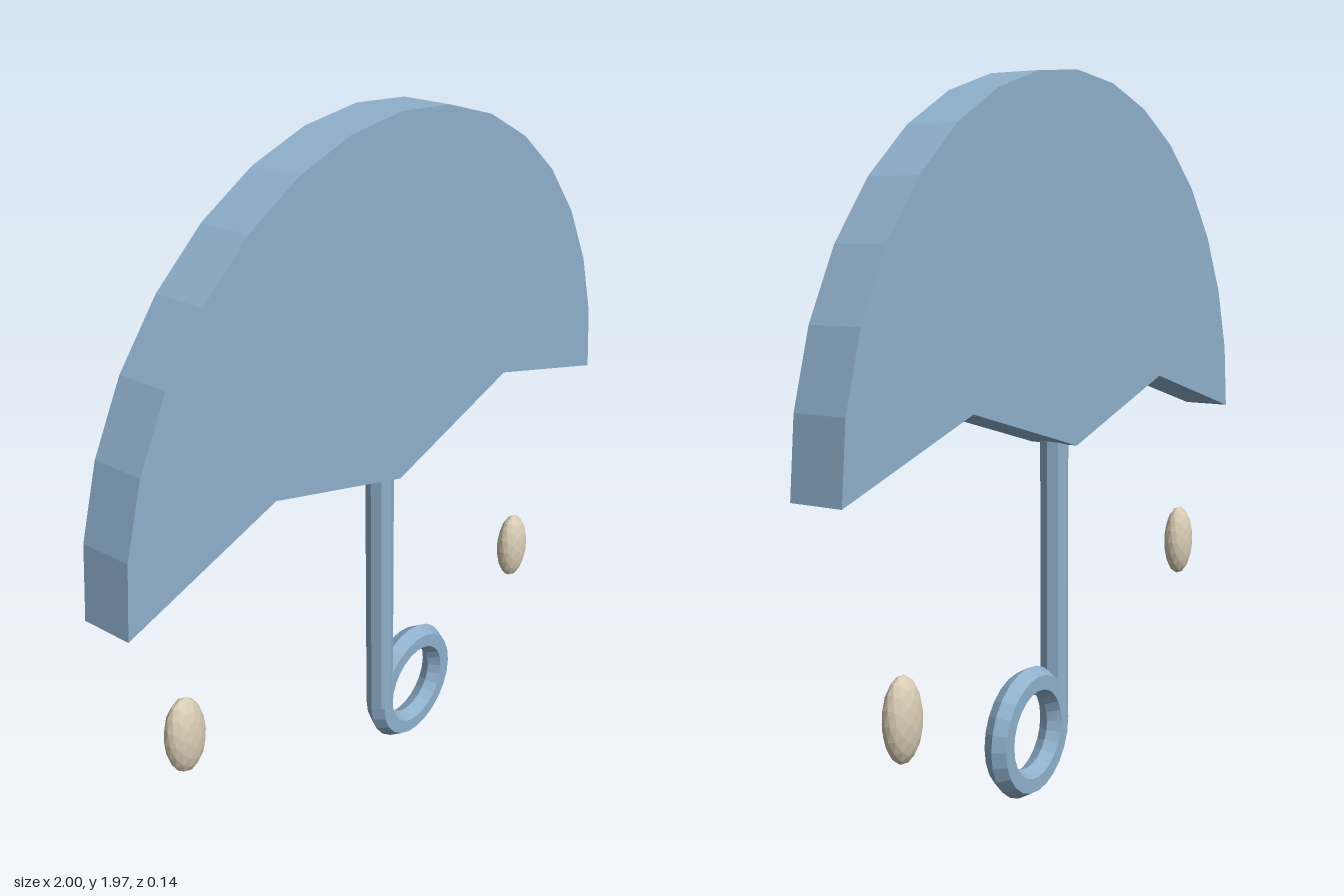
import * as THREE from 'three';

export function createModel() {
  const group = new THREE.Group();
  const blue = new THREE.MeshStandardMaterial({ color: 0x8fb0cc, flatShading: true });
  const sand = new THREE.MeshStandardMaterial({ color: 0xd8ccb4, flatShading: true });

  function add(name, geometry, material, x, y, z = 0) {
    const mesh = new THREE.Mesh(geometry, material);
    mesh.name = name;
    mesh.position.set(x, y, z);
    group.add(mesh);
    return mesh;
  }

  // Canopy: half disc of 16 flat sides with two peaked scallops below
  const outline = new THREE.Shape();
  const sides = 16;
  outline.moveTo(1, 0);
  for (let i = 1; i <= sides; i++) {
    const a = (i / sides) * Math.PI;
    outline.lineTo(Math.cos(a), Math.sin(a));
  }
  outline.lineTo(-0.5, 0.145);
  outline.lineTo(0, 0);
  outline.lineTo(0.5, 0.145);
  outline.closePath();
  const depth = 0.144;
  const canopy = new THREE.ExtrudeGeometry(outline, { depth, bevelEnabled: false });
  canopy.translate(0, 0, -depth / 2);
  add('canopy', canopy, blue, 0, 0.975);

  // Shaft: octagonal rod reaching just inside the canopy
  const shaftBottom = 0.19, shaftTop = 1.0;
  add('shaft', new THREE.CylinderGeometry(0.04, 0.04, shaftTop - shaftBottom, 8),
    blue, 0, (shaftBottom + shaftTop) / 2);

  // Handle: closed ring with a hexagonal section
  add('handleRing', new THREE.TorusGeometry(0.143, 0.04, 6, 24), blue, 0.143, 0.188);

  // Raindrops: faceted ellipsoids
  const dropShape = new THREE.IcosahedronGeometry(1, 2);
  for (const [name, x, y, z] of [
    ['rightRaindrop', -0.785, 0.548, -0.006],
    ['leftRaindrop', 0.713, 0.405, -0.004],
  ]) {
    add(name, dropShape, sand, x, y, z).scale.set(0.061, 0.111, 0.042);
  }

  return group;
}
